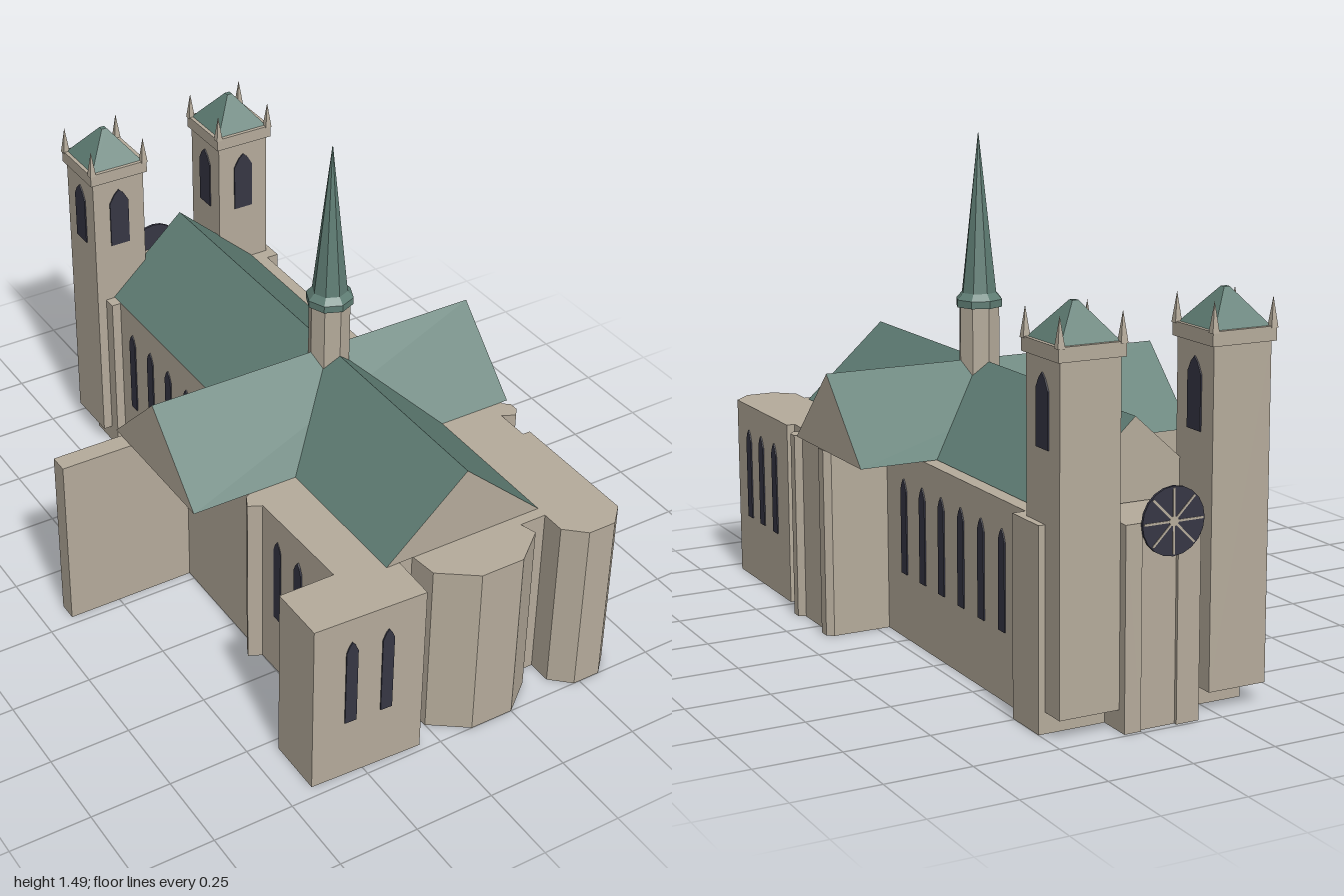
import * as THREE from 'three';

const mat = (name, color, side) => {
  const m = new THREE.MeshStandardMaterial({ color, side });
  m.name = name;
  return m;
};

export function createModel() {
  const root = new THREE.Group();
  root.name = 'church';
  const stone = mat('stone', 0xb5ab9b, THREE.DoubleSide);
  const copper = mat('copper', 0x5f7d74, THREE.DoubleSide);
  const glass = mat('darkGlass', 0x363644, THREE.FrontSide);

  const add = (name, geo, material, x = 0, y = 0, z = 0, parent = root) => {
    const m = new THREE.Mesh(geo, material);
    m.name = name;
    m.position.set(x, y, z);
    parent.add(m);
    return m;
  };
  // Flat-faced surface from a list of corner loops (triangles or quads)
  const faces = (loops) => {
    const pos = [];
    for (const l of loops)
      for (let i = 1; i < l.length - 1; i++) pos.push(...l[0], ...l[i], ...l[i + 1]);
    const g = new THREE.BufferGeometry();
    g.setAttribute('position', new THREE.Float32BufferAttribute(pos, 3));
    g.computeVertexNormals();
    return g;
  };

  // Walls: ground plan (x, z) raised to the eaves, open underneath
  const eaves = 0.57;
  const plan = [
    [0.07, -0.99], [0.14, -0.99], [0.14, -0.98], [0.25, -0.98], [0.25, -0.99], [0.30, -0.99],
    [0.30, -0.885], [0.50, -0.885], [0.50, -0.74], [0.46, -0.74], [0.46, 0.14],
    [0.64, 0.14], [0.66, 0.155], [0.66, 0.19], [0.64, 0.195], [0.64, 0.36], [0.66, 0.375],
    [0.66, 0.405], [0.64, 0.43], [0.60, 0.41], [0.60, 0.52], [0.625, 0.52], [0.625, 0.945],
    [0.57, 1.0], [0.48, 1.0], [0.42, 0.945], [0.42, 0.87], [0.335, 0.87], [0.35, 0.92],
    [0.25, 1.0], [0.11, 1.0], [0.0, 0.92], [-0.01, 0.83], [-0.055, 0.83], [-0.06, 0.98],
    [-0.415, 0.965], [-0.415, 0.785], [-0.24, 0.785], [-0.25, 0.42], [-0.29, 0.40],
    [-0.27, 0.36], [-0.25, 0.35], [-0.25, -0.03], [-0.665, -0.03], [-0.665, -0.09],
    [-0.10, -0.09], [-0.10, -0.74], [-0.13, -0.74], [-0.13, -0.885], [0.07, -0.885],
  ];
  add('walls', faces(plan.map(([x, z], i) => {
    const [u, w] = plan[(i + 1) % plan.length];
    return [[x, 0, z], [x, eaves, z], [u, eaves, w], [u, 0, w]];
  })), stone);
  const top = new THREE.ShapeGeometry(new THREE.Shape(plan.map(([x, z]) => new THREE.Vector2(x, -z))));
  top.rotateX(-Math.PI / 2);
  add('wallTop', top, stone, 0, eaves, 0);

  // Crossing gable roofs with stone gable ends; length runs along local z
  const gableRoof = (name, half, a, b, x, z, turn) => {
    const g = new THREE.Group();
    g.name = name;
    const h = 0.805 - eaves;
    add('slopes', faces([-1, 1].map((s) => {
      const q = [[s * half, 0, a], [s * half, 0, b], [0, h, b], [0, h, a]];
      return s < 0 ? q : q.reverse();
    })), copper, 0, 0, 0, g);
    add('gables', faces([
      [[-half, 0, b], [half, 0, b], [0, h, b]],
      [[half, 0, a], [-half, 0, a], [0, h, a]],
    ]), stone, 0, 0, 0, g);
    g.position.set(x, eaves + 0.002, z);
    g.rotation.y = turn;
    root.add(g);
  };
  const cx = 0.16, cz = 0.117;
  gableRoof('naveRoof', 0.26, -0.80, 0.837, cx, 0, 0);
  gableRoof('transeptRoof', 0.238, -0.44, 0.66, 0, cz, Math.PI / 2);

  // Pointed windows: thin plates, turned to face out of their wall
  const lancet = (name, w, y0, shoulder, tip, x, z, turn, parent = root) => {
    const s = new THREE.Shape();
    s.moveTo(-w / 2, y0);
    s.lineTo(w / 2, y0);
    s.lineTo(w / 2, shoulder);
    s.lineTo(w * 0.25, shoulder + (tip - shoulder) * 0.65);
    s.lineTo(0, tip);
    s.lineTo(-w * 0.25, shoulder + (tip - shoulder) * 0.65);
    s.lineTo(-w / 2, shoulder);
    const geo = new THREE.ExtrudeGeometry(s, { depth: 0.006, bevelEnabled: false });
    geo.translate(0, 0, -0.002);
    add(name, geo, glass, x, 0, z, parent).rotation.y = turn;
  };
  const E = Math.PI / 2, W = -Math.PI / 2, N = Math.PI;
  const wallWindow = (x, z, turn) => lancet('wallWindow', 0.037, 0.2, 0.455, 0.49, x, z, turn);
  for (const z of [0.63, 0.74, 0.845]) wallWindow(0.625, z, E);
  for (let i = 0; i < 6; i++) {
    wallWindow(0.46, 0.02 - i * 0.125, E);
    if (i < 5) wallWindow(-0.10, -0.18 - i * 0.12, W);
  }
  for (const x of [-0.23, -0.37, -0.505]) wallWindow(x, -0.09, N);
  wallWindow(-0.295, 0.97, -0.04);
  wallWindow(-0.18, 0.975, -0.04);
  wallWindow(-0.058, 0.91, E);
  for (const z of [0.5, 0.61]) wallWindow(-0.246, z, W);

  // Rear towers
  for (const x of [-0.07, 0.39]) {
    const t = new THREE.Group();
    t.name = 'tower';
    t.position.set(x, 0, -0.872);
    root.add(t);
    add('towerShaft', new THREE.BoxGeometry(0.18, 0.95, 0.18), stone, 0, 0.535, 0, t);
    add('towerCornice', new THREE.BoxGeometry(0.2, 0.04, 0.2), stone, 0, 1.03, 0, t);
    const cap = new THREE.CylinderGeometry(0.012, 0.088 * Math.SQRT2, 0.1, 4).toNonIndexed();
    cap.rotateY(Math.PI / 4);
    cap.computeVertexNormals();
    add('towerRoof', cap, copper, 0, 1.1, 0, t);
    for (const sx of [-1, 1]) for (const sz of [-1, 1]) {
      const pin = new THREE.ConeGeometry(0.015, 0.085, 4).toNonIndexed();
      pin.rotateY(Math.PI / 4);
      pin.computeVertexNormals();
      add('pinnacle', pin, stone, sx * 0.092, 1.088, sz * 0.092, t);
    }
    lancet('belfryWindow', 0.066, 0.77, 0.925, 0.97, 0, 0.09, 0, t);
    lancet('belfryWindow', 0.066, 0.77, 0.925, 0.97, 0.09, 0, E, t);
    lancet('belfryWindow', 0.066, 0.77, 0.925, 0.97, -0.09, 0, W, t);
  }

  // Octagonal crossing spire
  const ring = (name, r1, r0, y0, y1, m) => {
    const g = new THREE.CylinderGeometry(r1, r0, y1 - y0, 8).toNonIndexed();
    g.computeVertexNormals();
    add(name, g, m, cx, (y0 + y1) / 2, cz);
  };
  ring('spireDrum', 0.063, 0.063, 0.68, 0.97, stone);
  ring('spireCollar', 0.072, 0.072, 0.968, 0.99, copper);
  ring('spireCollarTop', 0.054, 0.072, 0.99, 1.01, copper);
  ring('spire', 0.001, 0.054, 1.01, 1.485, copper);

  // Round window on the rear wall with stone spokes
  const rose = new THREE.Group();
  rose.name = 'roseWindow';
  rose.position.set(cx, 0.565, -0.994);
  root.add(rose);
  const disc = new THREE.CylinderGeometry(0.095, 0.095, 0.008, 20);
  disc.rotateX(Math.PI / 2);
  add('roseGlass', disc, glass, 0, 0, 0, rose);
  for (let i = 0; i < 4; i++)
    add('roseSpoke', new THREE.BoxGeometry(0.18, 0.006, 0.004), stone, 0, 0, -0.004, rose).rotation.z = i * Math.PI / 4;
  const hub = new THREE.CylinderGeometry(0.014, 0.014, 0.004, 10);
  hub.rotateX(Math.PI / 2);
  add('roseHub', hub, stone, 0, 0, -0.004, rose);

  return root;
}
